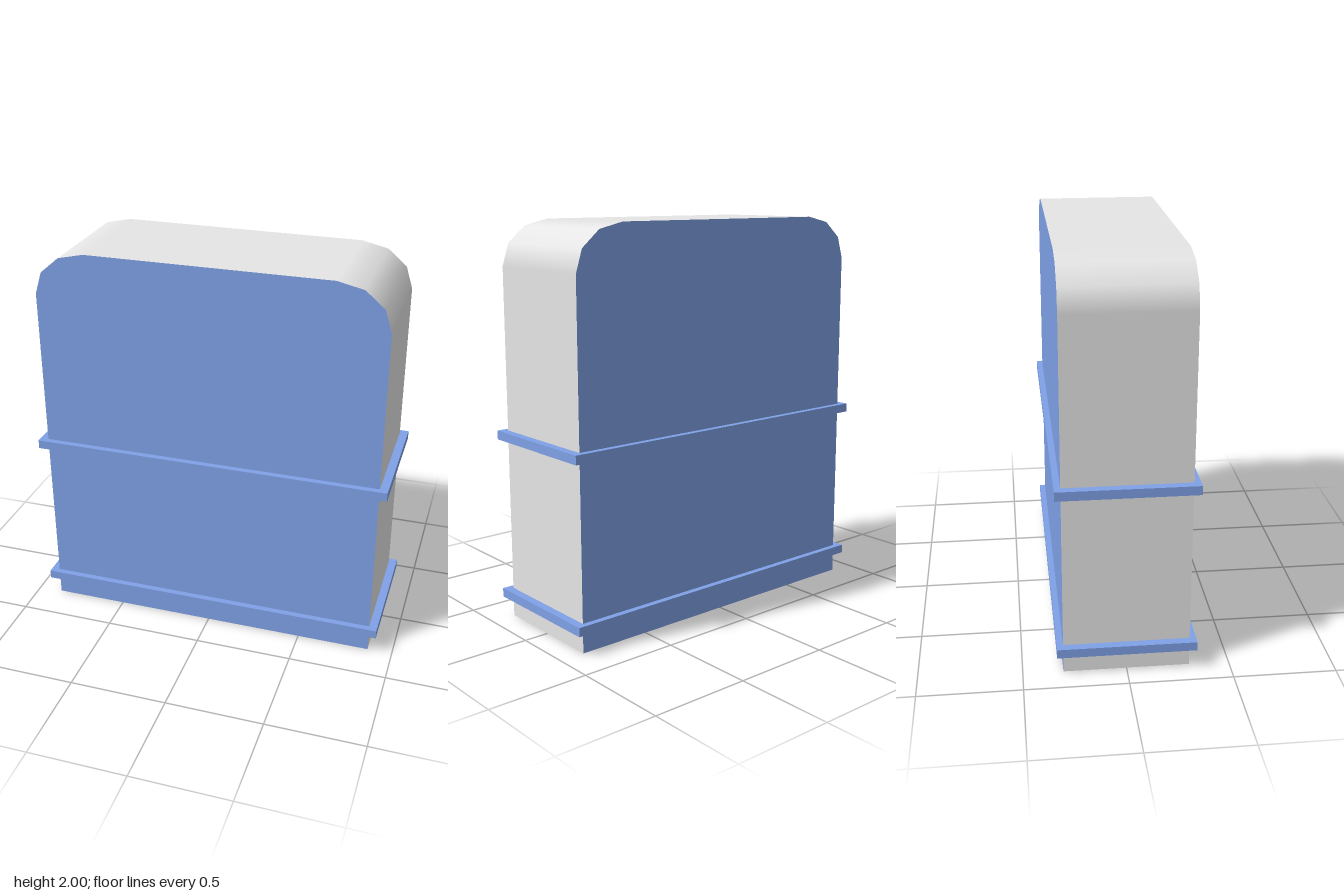
import * as THREE from 'three';

const HALF_W = 0.873, HALF_D = 0.305, HEIGHT = 2;
const CORNER_X = 0.262, CORNER_Y = 0.222, STEPS = 3;

// Outline from bottom right, over the rounded top, to bottom left, with outward normals
function outline() {
  const pts = [{ x: HALF_W, y: 0, nx: 1, ny: 0 }];
  for (const side of [0, 1]) {
    for (let i = 0; i <= STEPS; i++) {
      const a = (side + i / STEPS) * Math.PI / 2;
      const c = Math.cos(a), s = Math.sin(a);
      const n = new THREE.Vector2(c / CORNER_X, s / CORNER_Y).normalize();
      const cx = (side ? -1 : 1) * (HALF_W - CORNER_X);
      pts.push({ x: cx + CORNER_X * c, y: HEIGHT - CORNER_Y + CORNER_Y * s, nx: n.x, ny: n.y });
    }
  }
  pts.push({ x: -HALF_W, y: 0, nx: -1, ny: 0 });
  return pts;
}

// Strip that follows the outline through the depth of the body
function shellGeometry(pts) {
  const pos = [], nor = [], idx = [];
  pts.forEach((p, i) => {
    pos.push(p.x, p.y, HALF_D, p.x, p.y, -HALF_D);
    nor.push(p.nx, p.ny, 0, p.nx, p.ny, 0);
    if (i) {
      const a = 2 * (i - 1);
      idx.push(a, a + 1, a + 2, a + 1, a + 3, a + 2);
    }
  });
  const g = new THREE.BufferGeometry();
  g.setAttribute('position', new THREE.Float32BufferAttribute(pos, 3));
  g.setAttribute('normal', new THREE.Float32BufferAttribute(nor, 3));
  g.setIndex(idx);
  return g;
}

export function createModel() {
  const material = (name, color) => {
    const m = new THREE.MeshStandardMaterial({ color });
    m.name = name;
    return m;
  };
  const blue = material('blue', 0x80a2e9);
  const grey = material('light grey', 0xe6e6e6);
  const indigo = material('indigo', 0x4b44cc);

  const group = new THREE.Group();
  group.name = 'roundedCabinet';
  const add = (name, geometry, mat) => {
    const mesh = new THREE.Mesh(geometry, mat);
    mesh.name = name;
    group.add(mesh);
    return mesh;
  };

  // Sides and rounded top
  const pts = outline();
  add('sidesAndTop', shellGeometry(pts), grey);

  // Front and back faces
  const face = new THREE.ShapeGeometry(new THREE.Shape(pts.map(p => new THREE.Vector2(p.x, p.y))));
  add('frontFace', face, blue).position.z = HALF_D;
  const back = add('backFace', face, blue);
  back.position.z = -HALF_D;
  back.rotation.y = Math.PI;

  // Underside
  add('underside', new THREE.PlaneGeometry(HALF_W * 2, HALF_D * 2), indigo).rotation.x = Math.PI / 2;

  // Raised bands around the body
  const band = new THREE.BoxGeometry(1.83, 0.045, 0.672);
  add('lowerBand', band, blue).position.y = 0.126;
  add('upperBand', band, blue).position.y = 0.95;

  return group;
}
